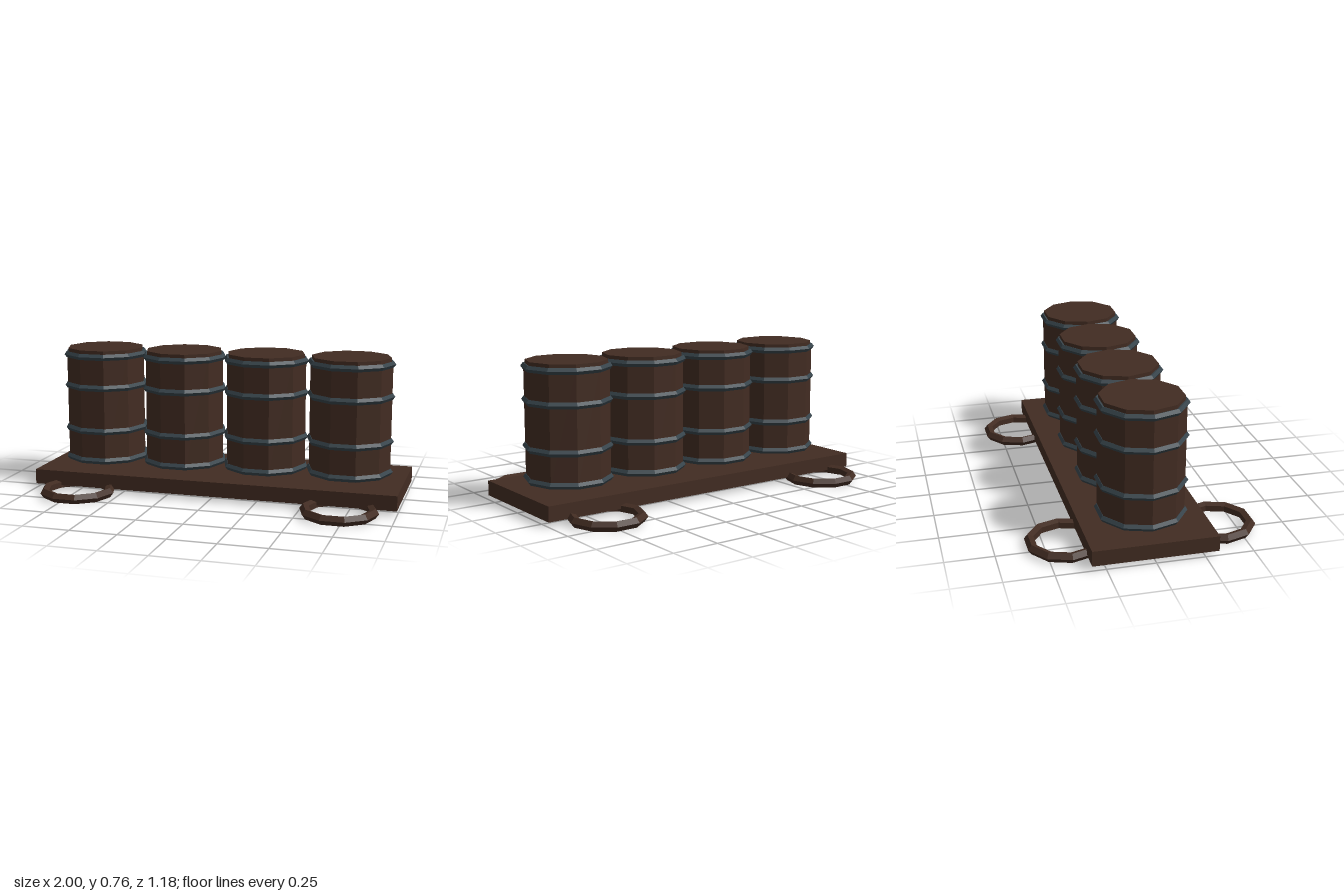
import * as THREE from 'three';

export function createModel() {
  const model = new THREE.Group();
  model.name = 'barrelRack';

  const wood = new THREE.MeshStandardMaterial({ color: 0x422c22 });
  wood.name = 'dark wood';
  const iron = new THREE.MeshStandardMaterial({ color: 0x37444b });
  iron.name = 'blue grey iron';

  // Faceted mesh: unshared vertices give every face its own normal
  function addPart(parent, name, geometry, material, x, y, z) {
    const faceted = geometry.index ? geometry.toNonIndexed() : geometry;
    faceted.computeVertexNormals();
    const mesh = new THREE.Mesh(faceted, material);
    mesh.name = name;
    mesh.position.set(x, y, z);
    parent.add(mesh);
    return mesh;
  }

  // Ten-sided drum with corners on the x axis
  const drum = (radius, height) =>
    new THREE.CylinderGeometry(radius, radius, height, 10).rotateY(Math.PI / 2);

  // Ten-sided ring lying flat, five-sided in section
  const ring = (radius, tube) =>
    new THREE.TorusGeometry(radius, tube, 5, 10).rotateX(Math.PI / 2);

  // Base board
  addPart(model, 'platform', new THREE.BoxGeometry(2, 0.08, 0.64), wood, 0, 0.065, 0);

  // Four carrying rings tucked under the board's long edges
  for (const x of [-0.716, 0.716]) {
    for (const z of [-0.395, 0.395]) {
      addPart(model, 'carryingRing', ring(0.178, 0.027), wood, x, 0.0262, z);
    }
  }

  // Row of four barrels, each with a raised lid and four hoops
  for (let i = 0; i < 4; i++) {
    const barrel = new THREE.Group();
    barrel.name = 'barrel';
    barrel.position.x = (i - 1.5) * 0.465;
    addPart(barrel, 'barrelBody', drum(0.221, 0.605), wood, 0, 0.4375, 0);
    addPart(barrel, 'barrelLid', drum(0.213, 0.03), wood, 0, 0.747, 0);
    for (const y of [0.148, 0.314, 0.556, 0.728]) {
      addPart(barrel, 'hoop', ring(0.218, 0.018), iron, 0, y, 0);
    }
    model.add(barrel);
  }

  return model;
}
